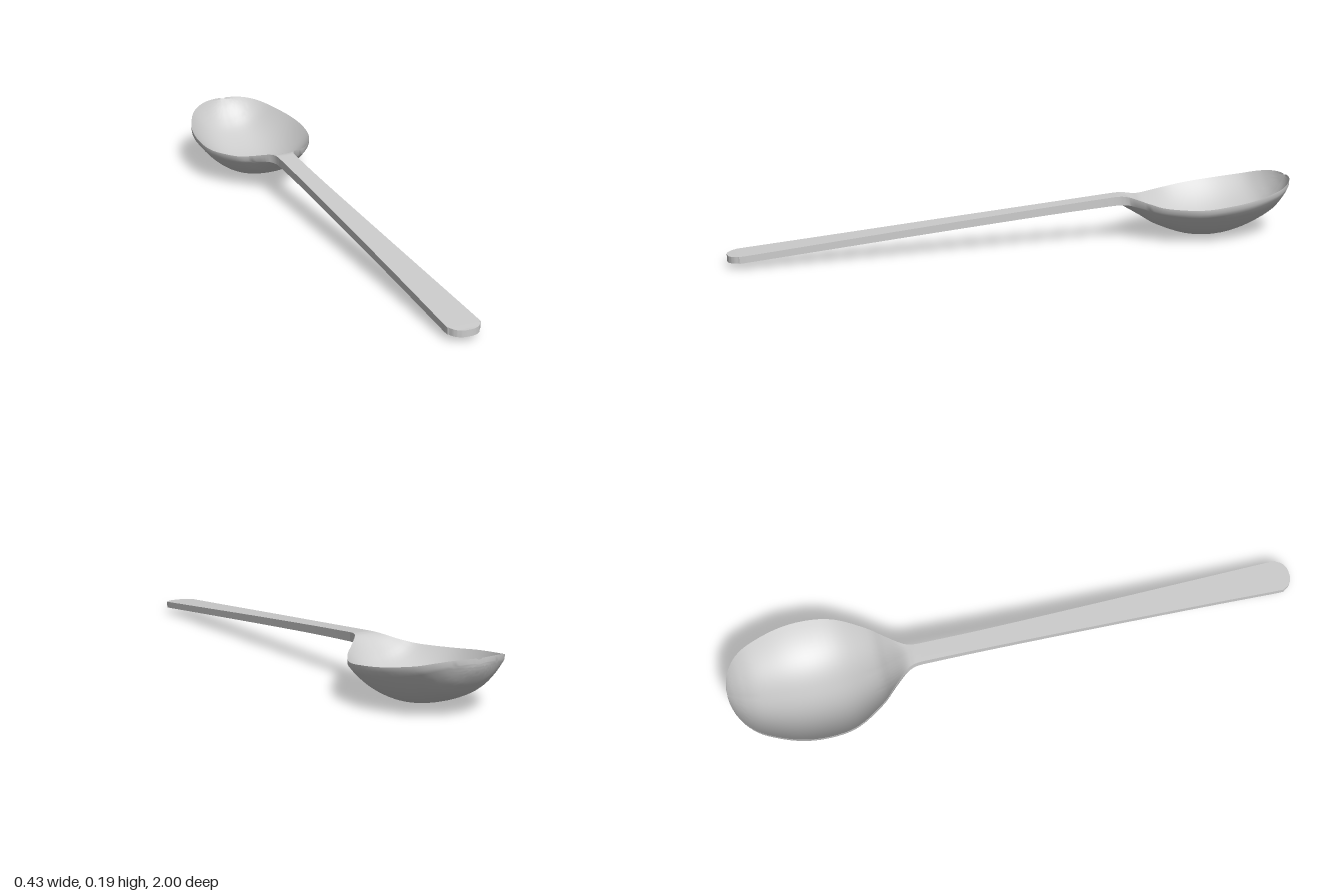
import * as THREE from 'three';
import { toCreasedNormals } from 'three/addons/utils/BufferGeometryUtils.js';

// Smooth interpolation through rows of section values.
function sampleRows(rows, steps) {
  const out = [];
  const n = rows.length - 1;
  for (let s = 0; s <= n * steps; s++) {
    const i = Math.min(Math.floor(s / steps), n - 1);
    const t = s / steps - i;
    const [a, b, c, d] = [-1, 0, 1, 2].map((k) => rows[Math.min(Math.max(i + k, 0), n)]);
    out.push(b.map((_, k) => 0.5 * (2 * b[k] + (c[k] - a[k]) * t
      + (2 * a[k] - 5 * b[k] + 4 * c[k] - d[k]) * t * t
      + (3 * b[k] - a[k] - 3 * c[k] + d[k]) * t * t * t)));
  }
  return out;
}

// Closed section: curved underside, upright edge, curved top side.
function section([z, cx, halfWidth, rim, bottom, floor, edge], across) {
  const ring = [];
  for (let side = 0; side < 2; side++) {
    for (let i = 0; i <= across; i++) {
      const u = (side ? -1 : 1) * (2 * i / across - 1);
      const f = Math.pow(Math.abs(u), 2.4);
      const y = side ? floor + (rim - floor) * f : bottom + (rim - edge - bottom) * f;
      ring.push(cx + u * halfWidth, y, z);
    }
  }
  return ring;
}

// Skin the sections along z and close both ends.
function loft(rows, steps, across) {
  const rings = sampleRows(rows, steps).map((r) => section(r, across));
  const m = 2 * (across + 1);
  const index = [];
  for (let r = 0; r < rings.length - 1; r++) {
    for (let i = 0; i < m; i++) {
      const a = r * m + i, b = r * m + (i + 1) % m;
      index.push(a, b, b + m, a, b + m, a + m);
    }
  }
  const last = (rings.length - 1) * m;
  for (let i = 0; i < across; i++) {
    const j = m - 1 - i;
    index.push(i, j, i + 1, i + 1, j, j - 1);
    index.push(last + i, last + i + 1, last + j, last + i + 1, last + j - 1, last + j);
  }
  const geometry = new THREE.BufferGeometry();
  geometry.setAttribute('position', new THREE.Float32BufferAttribute(rings.flat(), 3));
  geometry.setIndex(index);
  return toCreasedNormals(geometry, 0.75);
}

export function createModel() {
  const spoon = new THREE.Group();
  spoon.name = 'spoon';
  const material = new THREE.MeshStandardMaterial({ color: 0xcccccc });

  // Rows: z, centre x, half width, rim y, underside y, inner floor y, edge thickness
  const bowlRows = [
    [-1.0, 0, 0.01, 0.196, 0.178, 0.192, 0.015],
    [-0.995, 0, 0.045, 0.196, 0.162, 0.182, 0.015],
    [-0.98, 0, 0.085, 0.193, 0.135, 0.155, 0.015],
    [-0.95, 0, 0.128, 0.184, 0.098, 0.117, 0.015],
    [-0.9, 0, 0.165, 0.17, 0.06, 0.078, 0.015],
    [-0.8, 0, 0.203, 0.152, 0.02, 0.037, 0.015],
    [-0.7, 0, 0.214, 0.139, 0.002, 0.02, 0.015],
    [-0.6, 0, 0.198, 0.128, 0.011, 0.03, 0.015],
    [-0.5, 0, 0.14, 0.128, 0.047, 0.07, 0.016],
    [-0.45, 0, 0.096, 0.138, 0.077, 0.108, 0.02],
    [-0.4, -0.002, 0.053, 0.153, 0.107, 0.147, 0.028],
    [-0.37, -0.003, 0.037, 0.157, 0.122, 0.157, 0.031],
    [-0.34, -0.003, 0.033, 0.156, 0.125, 0.156, 0.031],
  ];
  const bowl = new THREE.Mesh(loft(bowlRows, 4, 32), material);
  bowl.name = 'bowl';
  spoon.add(bowl);

  // Flat handle: z, centre x, half width, top y, thickness
  const handleRows = [
    [-0.34, -0.003, 0.033, 0.156, 0.031],
    [-0.1, -0.002, 0.034, 0.136, 0.028],
    [0.3, 0.001, 0.041, 0.102, 0.026],
    [0.7, 0.004, 0.05, 0.067, 0.024],
    [0.94, 0.005, 0.056, 0.046, 0.023],
    [0.965, 0.005, 0.053, 0.044, 0.023],
    [0.985, 0.005, 0.042, 0.042, 0.022],
    [0.996, 0.005, 0.026, 0.041, 0.022],
    [1.0, 0.005, 0.01, 0.041, 0.022],
  ].map(([z, cx, w, top, t]) => [z, cx, w, top, top - t, top, t]);
  const handle = new THREE.Mesh(loft(handleRows, 4, 4), material);
  handle.name = 'handle';
  spoon.add(handle);

  return spoon;
}
